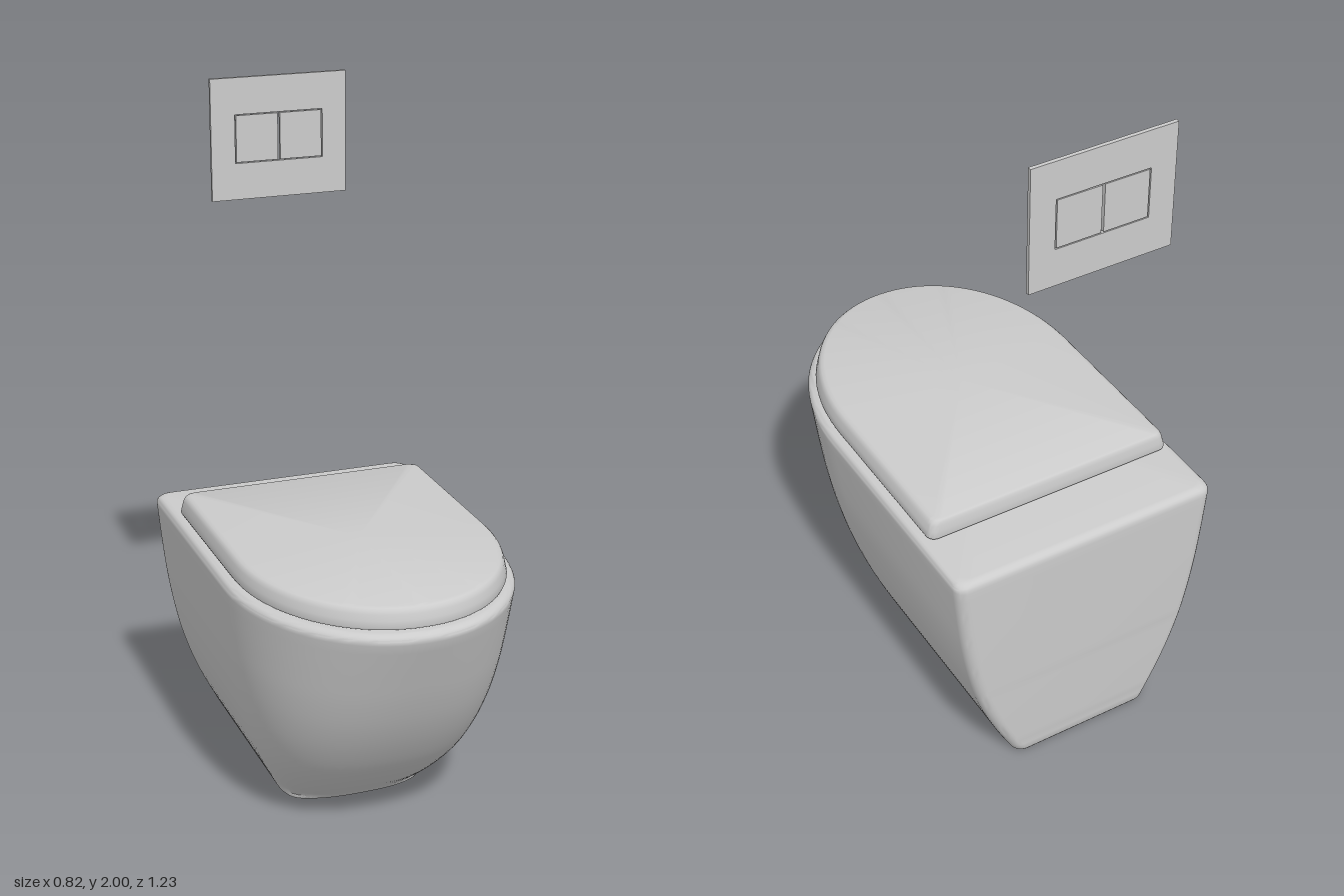
import * as THREE from 'three';
import { toCreasedNormals } from 'three/addons/utils/BufferGeometryUtils.js';

const material = new THREE.MeshStandardMaterial({ color: 0xcccccc, roughness: 0.6 });

// D-shaped plan outline: rounded back corners, straight sides, superellipse front
function outline({ w, back, front, depth, n, r }) {
  const pts = [], corner = 6, arc = 48;
  for (let i = 0; i <= corner; i++) {
    const a = -Math.PI / 2 + (i / corner) * Math.PI / 2;
    pts.push([w - r + r * Math.cos(a), back + r + r * Math.sin(a)]);
  }
  for (let i = 0; i <= arc; i++) {
    const a = (i / arc) * Math.PI, c = Math.cos(a), s = Math.max(0, Math.sin(a));
    pts.push([Math.sign(c) * w * Math.abs(c) ** (2 / n), front - depth + depth * s ** (2 / n)]);
  }
  for (let i = 0; i <= corner; i++) {
    const a = Math.PI + (i / corner) * Math.PI / 2;
    pts.push([-w + r + r * Math.cos(a), back + r + r * Math.sin(a)]);
  }
  return pts;
}

// Skin a stack of outlines (bottom to top) and close both ends
function loft(sections) {
  const pos = [], idx = [];
  const rings = sections.map(outline), count = rings[0].length;
  rings.forEach((ring, i) => ring.forEach(([x, z]) => pos.push(x, sections[i].y, z)));
  for (let i = 0; i < rings.length - 1; i++) {
    for (let j = 0; j < count; j++) {
      const k = (j + 1) % count;
      const a = i * count + j, b = i * count + k, c = a + count, d = b + count;
      idx.push(a, c, b, b, c, d);
    }
  }
  const last = (rings.length - 1) * count, centre = pos.length / 3;
  const first = sections[0], top = sections[sections.length - 1];
  pos.push(0, first.y, (first.back + first.front) / 2, 0, top.y, (top.back + top.front) / 2);
  for (let j = 0; j < count; j++) {
    const k = (j + 1) % count;
    idx.push(centre, j, k, centre + 1, last + k, last + j);
  }
  const geo = new THREE.BufferGeometry();
  geo.setAttribute('position', new THREE.Float32BufferAttribute(pos, 3));
  geo.setIndex(idx);
  return toCreasedNormals(geo, 0.7);
}

function add(parent, name, geometry, x = 0, y = 0, z = 0) {
  const mesh = new THREE.Mesh(geometry, material);
  mesh.name = name;
  mesh.position.set(x, y, z);
  parent.add(mesh);
  return mesh;
}

// Wall-hung bowl: squarish foot swelling into a D-shaped rim
function bowlGeometry() {
  const profile = new THREE.CatmullRomCurve3([ // half width, height, front z
    [0.222, 0.012, 0.105], [0.268, 0.1, 0.222], [0.312, 0.2, 0.328], [0.345, 0.3, 0.405],
    [0.368, 0.4, 0.467], [0.385, 0.5, 0.517], [0.397, 0.6, 0.56], [0.409, 0.72, 0.61],
  ].map((p) => new THREE.Vector3(...p)));
  const section = (w, y, front, inset = 0) => {
    const t = Math.min(1, y / 0.72), e = Math.sqrt(t);
    return {
      y, w: w - inset, front: front - inset, back: -0.613 + inset,
      depth: THREE.MathUtils.lerp(0.1, 0.51, e) - inset,
      n: THREE.MathUtils.lerp(2.7, 2.05, t), r: 0.035,
    };
  };
  const sections = [section(0.222, 0, 0.105, 0.015), section(0.222, 0.004, 0.105, 0.005)];
  for (let i = 0; i <= 28; i++) {
    const p = profile.getPoint(i / 28);
    sections.push(section(p.x, p.y, p.z));
  }
  // Rounded rim edge
  for (let i = 1; i <= 6; i++) {
    const a = (i / 6) * Math.PI / 2;
    sections.push(section(0.41, 0.725 + 0.025 * Math.sin(a), 0.613, 0.025 * (1 - Math.cos(a))));
  }
  return loft(sections);
}

// Closed lid: slightly tapered slab with soft edges
function lidGeometry() {
  return loft([
    [0.749, 0.018], [0.755, 0.014], [0.757, 0.002], [0.762, 0], [0.78, 0.004],
    [0.797, 0.008], [0.806, 0.012], [0.812, 0.018], [0.815, 0.028],
  ].map(([y, inset]) => ({
    y, w: 0.386 - inset, front: 0.588 - inset, back: -0.42 + inset * 0.5,
    depth: 0.485 - inset, n: 2.05, r: 0.025,
  })));
}

// Rectangle path, used for the plate and its opening
function rectangle(PathType, x0, y0, x1, y1) {
  const p = new PathType();
  p.moveTo(x0, y0);
  p.lineTo(x1, y0);
  p.lineTo(x1, y1);
  p.lineTo(x0, y1);
  p.closePath();
  return p;
}

export function createModel() {
  const model = new THREE.Group();
  model.name = 'wallHungToilet';
  add(model, 'bowl', bowlGeometry());
  add(model, 'lid', lidGeometry());

  // Flush plate with two push buttons in a shared opening
  const flush = new THREE.Group();
  flush.name = 'flushPlate';
  flush.position.set(0.003, 1.82, -0.613);
  const plate = rectangle(THREE.Shape, -0.208, -0.18, 0.208, 0.18);
  plate.holes.push(rectangle(THREE.Path, -0.135, -0.072, 0.135, 0.072));
  add(flush, 'plate', new THREE.ExtrudeGeometry(plate, { depth: 0.011, bevelEnabled: false }));
  for (const side of [-1, 1]) {
    const name = side > 0 ? 'leftButton' : 'rightButton';
    add(flush, name, new THREE.BoxGeometry(0.128, 0.138, 0.011), side * 0.0675, 0, 0.0055);
  }
  model.add(flush);
  return model;
}
